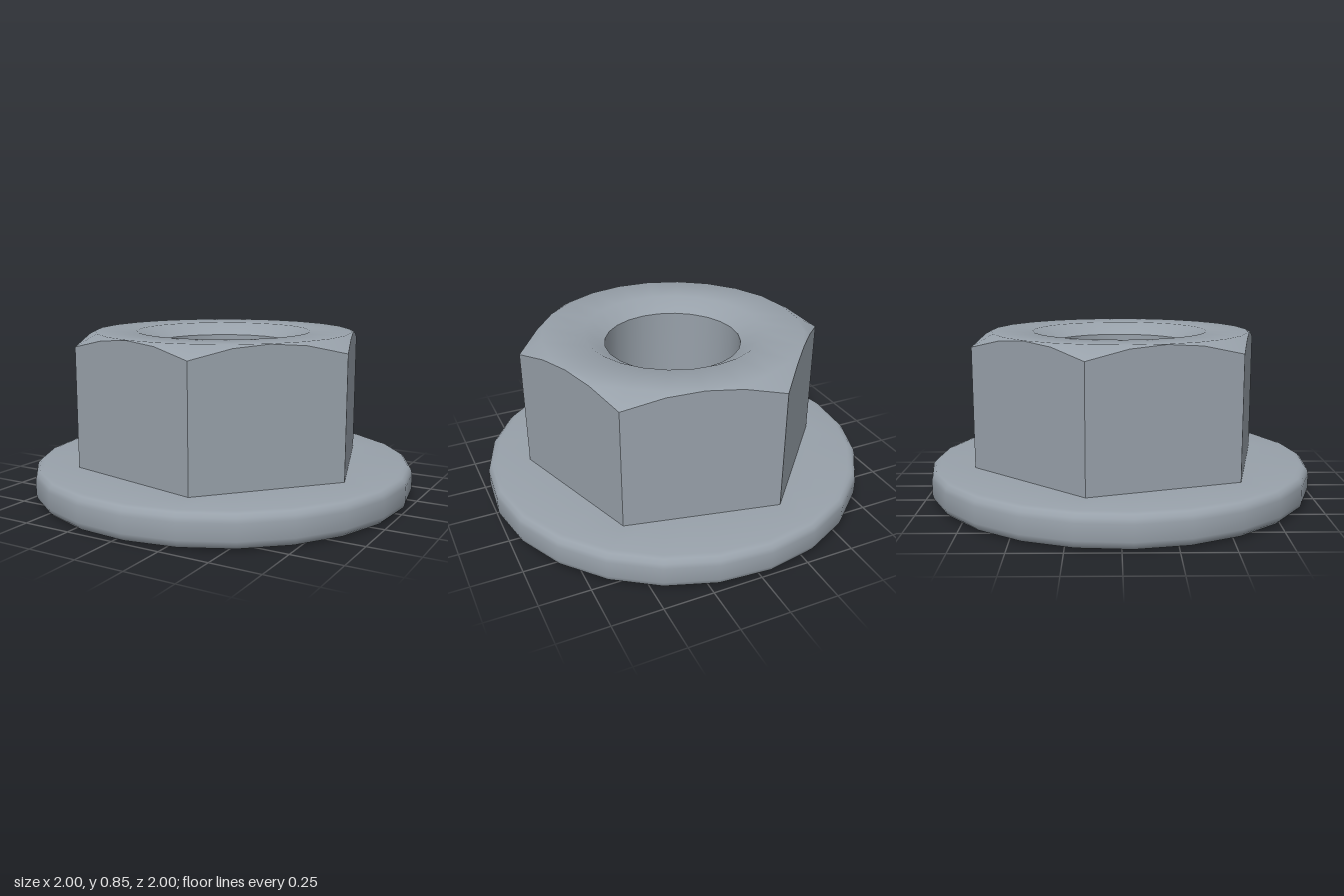
import * as THREE from 'three';
import { toCreasedNormals } from 'three/addons/utils/BufferGeometryUtils.js';

const SEGMENTS = 24;
const TURN = THREE.MathUtils.degToRad(-3);
const FLAT = 0.675; // centre to flat of the hexagon
const BORE = 0.35;
const SINK = 0.455; // outer radius of the countersinks

// One closed loop of points; radius and height may vary with the angle step
function ring(radiusAt, heightAt) {
  return Array.from({ length: SEGMENTS }, (_, j) => {
    const a = TURN + (j / SEGMENTS) * Math.PI * 2;
    const r = radiusAt(j);
    return [r * Math.cos(a), heightAt(r), r * Math.sin(a)];
  });
}
const circle = (r, y) => ring(() => r, () => y);

// Hexagon radius: corners fall on steps 1, 5, 9 ...
const hexRadius = (j) => {
  const fromCorner = (((j - 1) % 4) + 4) % 4;
  return FLAT / Math.cos(((fromCorner - 2) * Math.PI * 2) / SEGMENTS);
};

// Skin consecutive rings: up the outside, inwards over the top, down the bore
function skin(name, material, rings) {
  const index = [];
  for (let i = 0; i < rings.length - 1; i++) {
    for (let j = 0; j < SEGMENTS; j++) {
      const k = (j + 1) % SEGMENTS;
      const a = i * SEGMENTS + j, b = a + SEGMENTS;
      const c = i * SEGMENTS + k, d = c + SEGMENTS;
      index.push(a, b, c, b, d, c);
    }
  }
  const geometry = new THREE.BufferGeometry();
  geometry.setAttribute('position', new THREE.Float32BufferAttribute(rings.flat(2), 3));
  geometry.setIndex(index);
  const mesh = new THREE.Mesh(toCreasedNormals(geometry, THREE.MathUtils.degToRad(40)), material);
  mesh.name = name;
  return mesh;
}

export function createModel() {
  const steel = new THREE.MeshStandardMaterial({ color: 0x98a1aa });
  steel.name = 'steel';

  const group = new THREE.Group();
  group.name = 'flangedNut';

  // Rounded washer flange
  const fillet = 0.045, flangeTop = 0.17;
  const edge = [];
  for (let i = 0; i <= 6; i++) {
    const upper = i > 3;
    const a = ((upper ? i - 4 : i - 3) * Math.PI) / 6;
    const y = (upper ? flangeTop - fillet : fillet) + fillet * Math.sin(a);
    edge.push(circle(1 - fillet + fillet * Math.cos(a), y));
  }
  edge.push(circle(1 - fillet, flangeTop), ring(hexRadius, () => flangeTop));
  group.add(skin('flange', steel, edge));

  // Hexagon with a conical chamfer that cuts arcs into its flats
  group.add(skin('hexBody', steel, [
    ring(hexRadius, () => flangeTop),
    ring(hexRadius, (r) => 0.85 - (r - FLAT) * 0.577),
    circle(FLAT - 0.005, 0.852),
    circle(SINK, 0.85),
    circle(BORE, 0.79),
  ]));

  // Bore, lower countersink and bearing face
  group.add(skin('bore', steel, [circle(BORE, 0.79), circle(BORE, 0.06)]));
  group.add(skin('lowerCountersink', steel, [circle(BORE, 0.06), circle(SINK, 0)]));
  group.add(skin('bearingFace', steel, [circle(SINK, 0), circle(1 - fillet, 0)]));

  return group;
}
